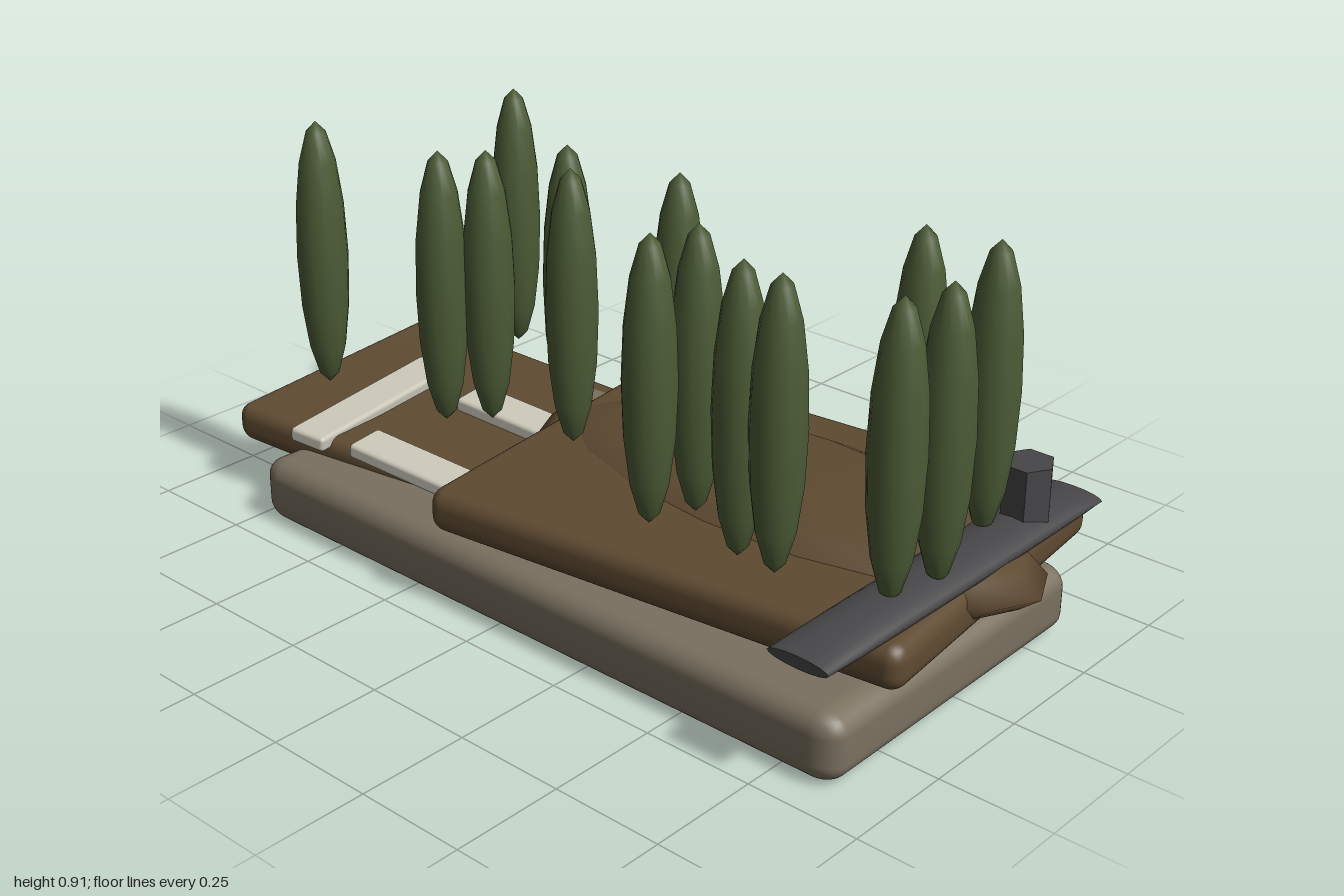
import * as THREE from 'three';
import { mergeVertices } from 'three/addons/utils/BufferGeometryUtils.js';
import { RoundedBoxGeometry } from 'three/addons/geometries/RoundedBoxGeometry.js';

function material(name, color) {
  const m = new THREE.MeshStandardMaterial({ color });
  m.name = name;
  return m;
}

const lerp = THREE.MathUtils.lerp;

// Rounded slab stretched between four corners [x, topY, z]: back left, back right, front left, front right
function slabGeometry(bl, br, fl, fr, thickness, radius) {
  const raw = new RoundedBoxGeometry(1.2, thickness, 0.8, 4, radius);
  raw.deleteAttribute('normal');
  raw.deleteAttribute('uv');
  const geo = mergeVertices(raw, 1e-4);
  const p = geo.attributes.position;
  for (let i = 0; i < p.count; i++) {
    const u = p.getX(i) / 1.2 + 0.5;
    const w = p.getZ(i) / 0.8 + 0.5;
    const at = k => lerp(lerp(bl[k], br[k], u), lerp(fl[k], fr[k], u), w);
    p.setXYZ(i, at(0), at(1) - thickness / 2 + p.getY(i), at(2));
  }
  geo.computeVertexNormals();
  return geo;
}

export function createModel() {
  const group = new THREE.Group();
  const earth = material('brown earth', 0x5e4a31);
  const stone = material('grey stone', 0x7a705f);
  const pale = material('pale stone', 0xcac7b8);
  const dark = material('dark stone', 0x474749);
  const leaf = material('cypress green', 0x4c5c36);

  const add = (name, geometry, mat) => {
    const mesh = new THREE.Mesh(geometry, mat);
    mesh.name = name;
    group.add(mesh);
    return mesh;
  };

  // Stone foundation
  add('foundation', slabGeometry(
    [-0.72, 0.155, -0.38], [0.88, 0.155, -0.38],
    [-0.74, 0.155, 0.43], [0.89, 0.155, 0.43], 0.15, 0.045), stone);

  // Lower terrace, sloping down to the right and back
  add('lowerTerrace', slabGeometry(
    [-1.0, 0.2, -0.32], [0.15, 0.1, -0.49],
    [-0.9, 0.215, 0.365], [0.25, 0.15, 0.2], 0.09, 0.035), earth);

  // Upper terrace
  add('upperTerrace', slabGeometry(
    [-0.26, 0.28, -0.355], [0.845, 0.27, -0.485],
    [-0.165, 0.28, 0.45], [0.94, 0.275, 0.31], 0.1, 0.038), earth);

  // Flattened mound lying through the upper terrace
  const mound = add('mound', new THREE.SphereGeometry(1, 16, 8), earth);
  mound.scale.set(0.65, 0.1, 0.26);
  mound.position.set(0.345, 0.235, -0.07);
  mound.rotation.z = 0.015;

  // Pale foundation strips: name, centre, length along x, turn, slope
  const strips = [
    ['crossStrip', -0.7, 0.195, 0.12, 0.095, 0.48, 0.17, -0.08],
    ['backStrip', -0.3, 0.19, -0.055, 0.46, 0.1, 0.15, -0.11],
    ['frontStrip', -0.3, 0.19, 0.27, 0.46, 0.1, 0.15, -0.11],
  ];
  for (const [name, x, y, z, length, width, turn, slope] of strips) {
    const strip = add(name, new RoundedBoxGeometry(length, 0.035, width, 2, 0.01), pale);
    strip.position.set(x, y, z);
    strip.rotation.set(0, turn, slope, 'YXZ');
  }

  // Dark wall: a flattened round bar thinning towards both ends
  const wallGeo = new THREE.CylinderGeometry(0.07, 0.07, 0.9, 16, 12);
  wallGeo.rotateX(Math.PI / 2);
  const wp = wallGeo.attributes.position;
  for (let i = 0; i < wp.count; i++) {
    const t = Math.abs(wp.getZ(i)) / 0.45;
    wp.setY(i, wp.getY(i) * 0.42 * (1 - 0.55 * t ** 4));
  }
  wallGeo.computeVertexNormals();
  add('wall', wallGeo, dark).position.set(0.84, 0.294, 0.032);

  // Six-sided post on the wall
  const postGeo = new THREE.CylinderGeometry(0.055, 0.055, 0.12, 6).toNonIndexed();
  postGeo.rotateY(Math.PI / 6);
  postGeo.computeVertexNormals();
  add('post', postGeo, dark).position.set(0.84, 0.368, -0.24);

  // Cypress trees
  const trees = [
    [-0.535, -0.195], [-0.68, 0.26], [-0.34, 0.22], [-0.27, 0.15], [-0.17, 0.01],
    [-0.06, 0.115], [0.12, -0.015], [0.34, 0.18], [0.305, 0.28], [0.52, 0.265],
    [0.615, 0.27], [0.66, -0.105], [0.81, -0.135], [0.865, 0.095], [0.84, 0.21],
  ];
  const treeGeo = new THREE.SphereGeometry(1, 12, 8);
  treeGeo.scale(0.057, 0.306, 0.057);
  trees.forEach(([x, z], i) => {
    add('cypress' + (i + 1), treeGeo, leaf).position.set(x, 0.609, z);
  });

  return group;
}
